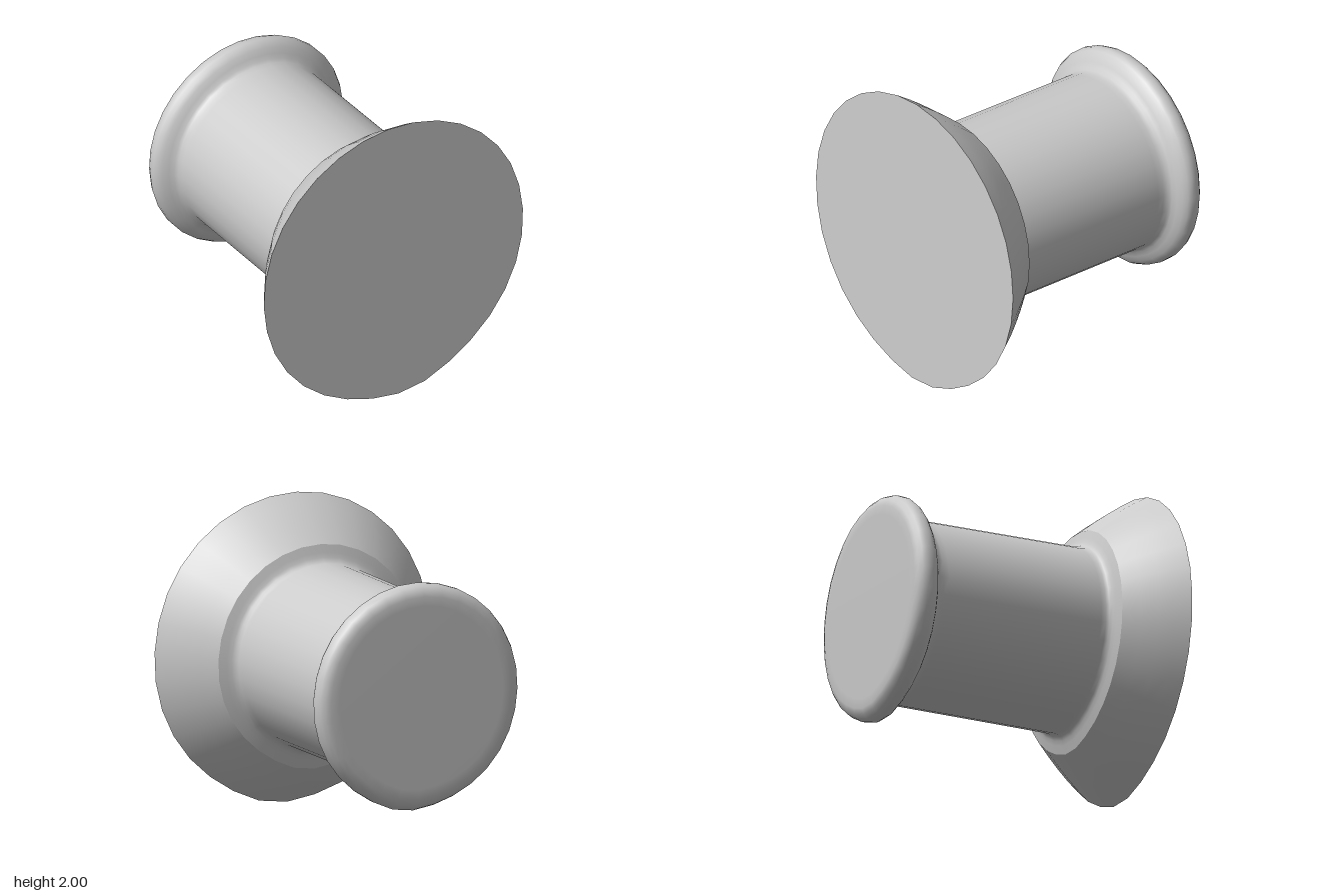
import * as THREE from 'three';

const SEGMENTS = 32;

// Lathe from [radius, depth behind the front face], with a rounded ridge along the underside
function ridgedLathe(name, profile) {
  const points = profile.map(([r, depth]) => new THREE.Vector2(r, -depth));
  const geometry = new THREE.LatheGeometry(points, SEGMENTS, Math.PI / SEGMENTS);
  const pos = geometry.attributes.position;
  for (let i = 0; i < pos.count; i++) {
    const x = pos.getX(i), z = pos.getZ(i);
    const a = Math.atan2(x, z); // angle from straight down
    const k = 1 + 0.025 * Math.max(0, Math.cos(a)) + 0.03 * Math.exp(-((a / 0.28) ** 2));
    pos.setX(i, x * k);
    pos.setZ(i, z * k);
  }
  const material = new THREE.MeshStandardMaterial({ color: 0xcccccc });
  const mesh = new THREE.Mesh(geometry, material);
  mesh.name = name;
  return mesh;
}

export function createModel() {
  const spool = new THREE.Group();
  spool.name = 'spool';

  // Flat back end, rounded rim, barrel and the fillet onto the shoulder
  spool.add(ridgedLathe('barrelAndRim', [
    [0, 1.8], [0.58, 1.8], [0.64, 1.797], [0.675, 1.785], [0.7, 1.762], [0.714, 1.73],
    [0.714, 1.695], [0.7, 1.668], [0.675, 1.645], [0.64, 1.625], [0.61, 1.61],
    [0.593, 1.59], [0.584, 1.56], [0.584, 1.52], [0.588, 0.45], [0.592, 0.42],
    [0.603, 0.4], [0.625, 0.386], [0.655, 0.376], [0.706, 0.36],
  ]));

  // Flared skirt, slightly bowed outward
  spool.add(ridgedLathe('skirt', [
    [0.706, 0.36], [0.785, 0.265], [0.855, 0.175], [0.918, 0.088], [0.975, 0],
  ]));

  // Flat front face
  spool.add(ridgedLathe('frontFace', [[0.975, 0], [0, 0]]));

  // Lay the spool down, front face forward, with its slight tilt
  const axis = new THREE.Vector3(-0.116, 0.033, 1).normalize();
  spool.quaternion.setFromUnitVectors(new THREE.Vector3(0, 1, 0), axis);
  spool.position.set(0, 1.027, 0.863);

  const model = new THREE.Group();
  model.add(spool);
  return model;
}
